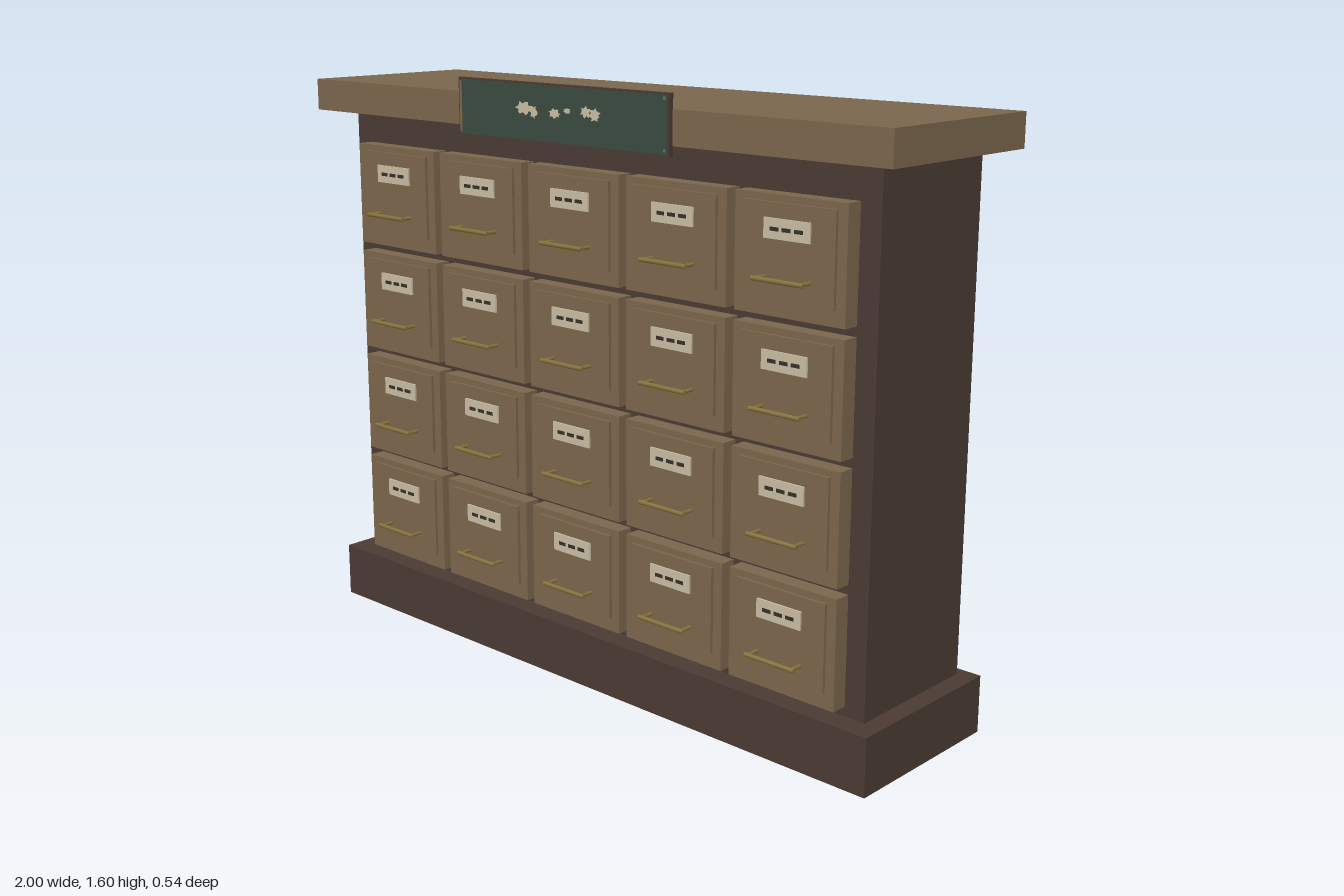
import * as THREE from 'three';

const mat = (name, color) => {
  const m = new THREE.MeshStandardMaterial({ color });
  m.name = name;
  return m;
};

export function createModel() {
  const darkWood = mat('dark wood', 0x4a3a34);
  const lightWood = mat('light wood', 0x7a654c);
  const brass = mat('brass', 0x84713a);
  const paper = mat('paper', 0xc8bca2);
  const ink = mat('ink', 0x35302b);
  const green = mat('green paint', 0x3a4a40);

  const cabinet = new THREE.Group();
  cabinet.name = 'drawerCabinet';

  // Box given by its limits on each axis
  const box = (parent, name, material, [x0, x1], [y0, y1], [z0, z1]) => {
    const mesh = new THREE.Mesh(new THREE.BoxGeometry(x1 - x0, y1 - y0, z1 - z0), material);
    mesh.position.set((x0 + x1) / 2, (y0 + y1) / 2, (z0 + z1) / 2);
    mesh.name = name;
    parent.add(mesh);
    return mesh;
  };

  // Carcass
  box(cabinet, 'plinth', darkWood, [-0.97, 0.97], [0, 0.153], [-0.25, 0.237]);
  box(cabinet, 'body', darkWood, [-0.92, 0.92], [0.153, 1.478], [-0.22, 0.176]);
  box(cabinet, 'countertop', lightWood, [-1, 1], [1.478, 1.565], [-0.271, 0.256]);

  // One drawer, centred on its front face
  const addDrawer = (x, y) => {
    const drawer = new THREE.Group();
    drawer.name = 'drawer';
    drawer.position.set(x, y, 0);
    box(drawer, 'drawerFront', lightWood, [-0.162, 0.162], [-0.142, 0.142], [0.176, 0.221]);
    box(drawer, 'drawerPanel', lightWood, [-0.135, 0.135], [-0.103, 0.125], [0.221, 0.229]);

    // Label with three ink marks
    box(drawer, 'label', paper, [-0.067, 0.067], [0.041, 0.089], [0.229, 0.234]);
    for (const i of [-1, 0, 1]) {
      const c = i * 0.035;
      box(drawer, 'labelMark', ink, [c - 0.012, c + 0.012], [0.06, 0.069], [0.234, 0.236]);
    }

    // Bar handle on two posts
    const bar = new THREE.Mesh(new THREE.CylinderGeometry(0.006, 0.006, 0.15, 8), brass);
    bar.name = 'handleBar';
    bar.rotation.z = Math.PI / 2;
    bar.position.set(0, -0.049, 0.265);
    drawer.add(bar);
    for (const s of [-1, 1]) {
      const post = new THREE.Mesh(new THREE.CylinderGeometry(0.005, 0.005, 0.036, 8), brass);
      post.name = 'handlePost';
      post.rotation.x = Math.PI / 2;
      post.position.set(s * 0.066, -0.049, 0.247);
      drawer.add(post);
    }
    cabinet.add(drawer);
  };
  for (let row = 0; row < 4; row++) {
    for (let col = -2; col <= 2; col++) addDrawer(col * 0.35, 0.32 + row * 0.309);
  }

  // Sign board with painted face and worn edges
  const sign = new THREE.Group();
  sign.name = 'sign';
  box(sign, 'signBoard', darkWood, [-0.372, 0.372], [1.453, 1.603], [0.254, 0.268]);
  box(sign, 'signFace', green, [-0.366, 0.366], [1.458, 1.598], [0.268, 0.27]);
  box(sign, 'wornEdge', lightWood, [-0.366, -0.358], [1.462, 1.594], [0.27, 0.271]);
  for (const y of [1.464, 1.586]) {
    box(sign, 'wornCorner', lightWood, [0.355, 0.363], [y, y + 0.008], [0.27, 0.271]);
  }

  // Flaked paint patches: ragged flat blobs
  const addPatch = (x, y, rx, ry, phase) => {
    const points = [];
    for (let i = 0; i < 18; i++) {
      const a = (i / 18) * Math.PI * 2;
      const r = 0.8 + 0.22 * Math.sin(i * 2.3 + phase);
      points.push(new THREE.Vector2(Math.cos(a) * rx * r, Math.sin(a) * ry * r));
    }
    const patch = new THREE.Mesh(new THREE.ShapeGeometry(new THREE.Shape(points)), paper);
    patch.name = 'paintPatch';
    patch.position.set(x, y, 0.2715);
    sign.add(patch);
  };
  addPatch(-0.12, 1.538, 0.034, 0.019, 0);
  addPatch(-0.085, 1.53, 0.015, 0.018, 1);
  addPatch(-0.01, 1.531, 0.022, 0.014, 2);
  addPatch(0.035, 1.54, 0.015, 0.008, 3);
  addPatch(0.1, 1.541, 0.02, 0.016, 4);
  addPatch(0.13, 1.536, 0.022, 0.018, 5);
  cabinet.add(sign);

  return cabinet;
}
